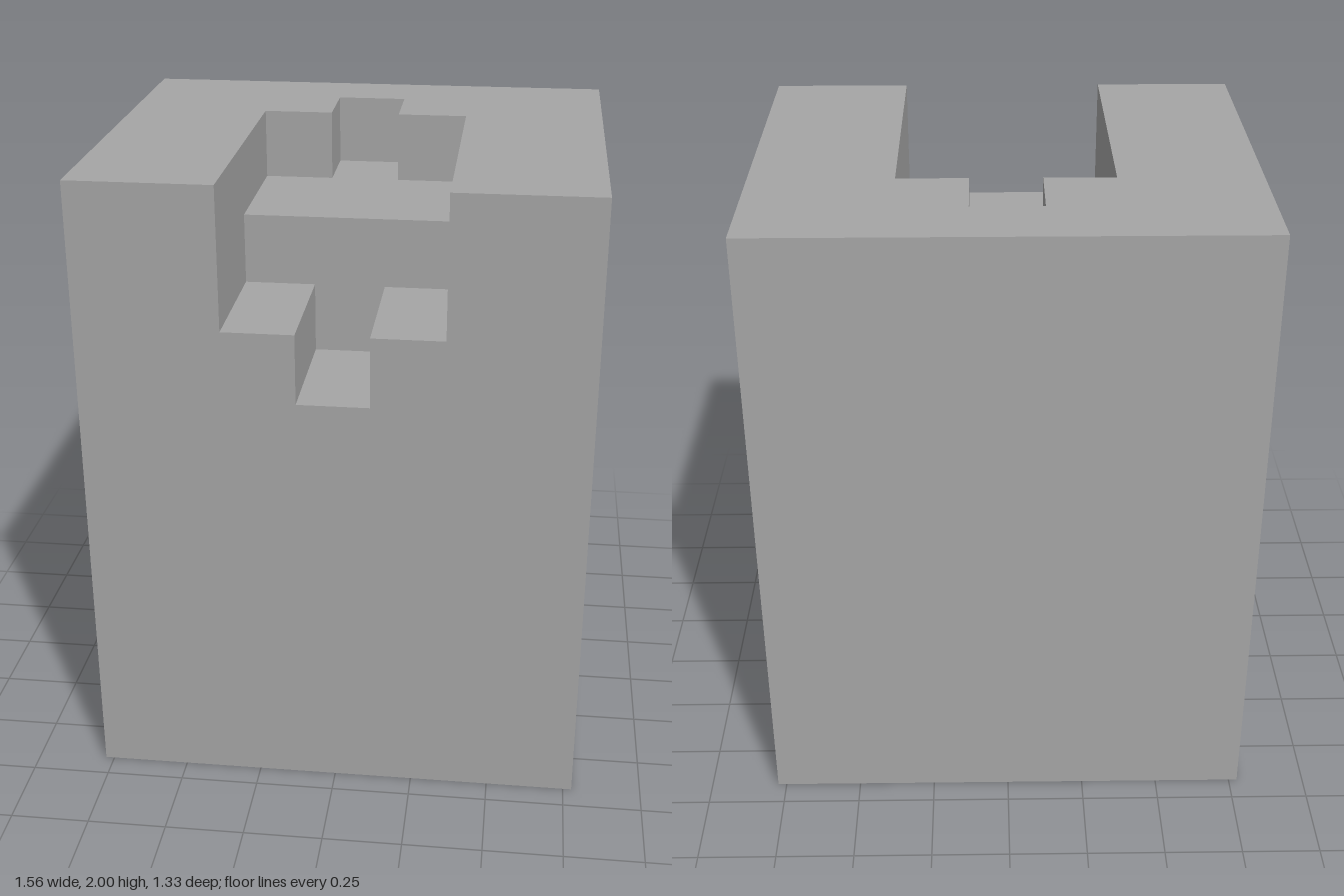
import * as THREE from 'three';

const UNIT = 2 / 9;

// Cut planes of the block along x, y and z, in units
const CUTS = [
  [-3.5, -1.5, -0.5, 0.5, 1.5, 3.5],
  [0, 6, 7, 8, 9],
  [-3, -2, -1, 1, 3],
];

// Pockets removed from the block: [half width, floor y, back z, front z]
const POCKETS = [
  [0.5, 8, -2, -1],  // rear notch
  [1.5, 8, -1, 1],   // middle recess
  [1.5, 7, 1, 3],    // front shelf
  [0.5, 6, 1, 3],    // front channel
];

// True where the cell with these indices is filled
function isSolid(cell) {
  if (cell.some((n, axis) => n < 0 || n >= CUTS[axis].length - 1)) return false;
  const [x, y, z] = cell.map((n, axis) => (CUTS[axis][n] + CUTS[axis][n + 1]) / 2);
  return !POCKETS.some(([half, floor, back, front]) =>
    Math.abs(x) < half && y > floor && z > back && z < front);
}

// Outer skin of all filled cells, with no hidden inner faces
function notchedBlockGeometry() {
  const positions = [];

  const addFace = (cell, axis, side) => {
    const u = (axis + 1) % 3, v = (axis + 2) % 3;
    const corner = (du, dv) => {
      const step = [0, 0, 0];
      step[axis] = side > 0 ? 1 : 0;
      step[u] = du;
      step[v] = dv;
      return step.map((s, a) => CUTS[a][cell[a] + s] * UNIT);
    };
    const quad = [corner(0, 0), corner(1, 0), corner(1, 1), corner(0, 1)];
    if (side < 0) quad.reverse();
    for (const n of [0, 1, 2, 0, 2, 3]) positions.push(...quad[n]);
  };

  for (let i = 0; i < CUTS[0].length - 1; i++)
    for (let j = 0; j < CUTS[1].length - 1; j++)
      for (let k = 0; k < CUTS[2].length - 1; k++) {
        const cell = [i, j, k];
        if (!isSolid(cell)) continue;
        for (let axis = 0; axis < 3; axis++)
          for (const side of [-1, 1]) {
            const next = [...cell];
            next[axis] += side;
            if (!isSolid(next)) addFace(cell, axis, side);
          }
      }

  const geometry = new THREE.BufferGeometry();
  geometry.setAttribute('position', new THREE.Float32BufferAttribute(positions, 3));
  geometry.computeVertexNormals();
  return geometry;
}

export function createModel() {
  const grey = new THREE.MeshStandardMaterial({ color: 0xa6a6a6 });
  grey.name = 'grey';

  const block = new THREE.Mesh(notchedBlockGeometry(), grey);
  block.name = 'notchedBlock';

  const model = new THREE.Group();
  model.name = 'blockWithSteppedPocket';
  model.add(block);
  return model;
}
